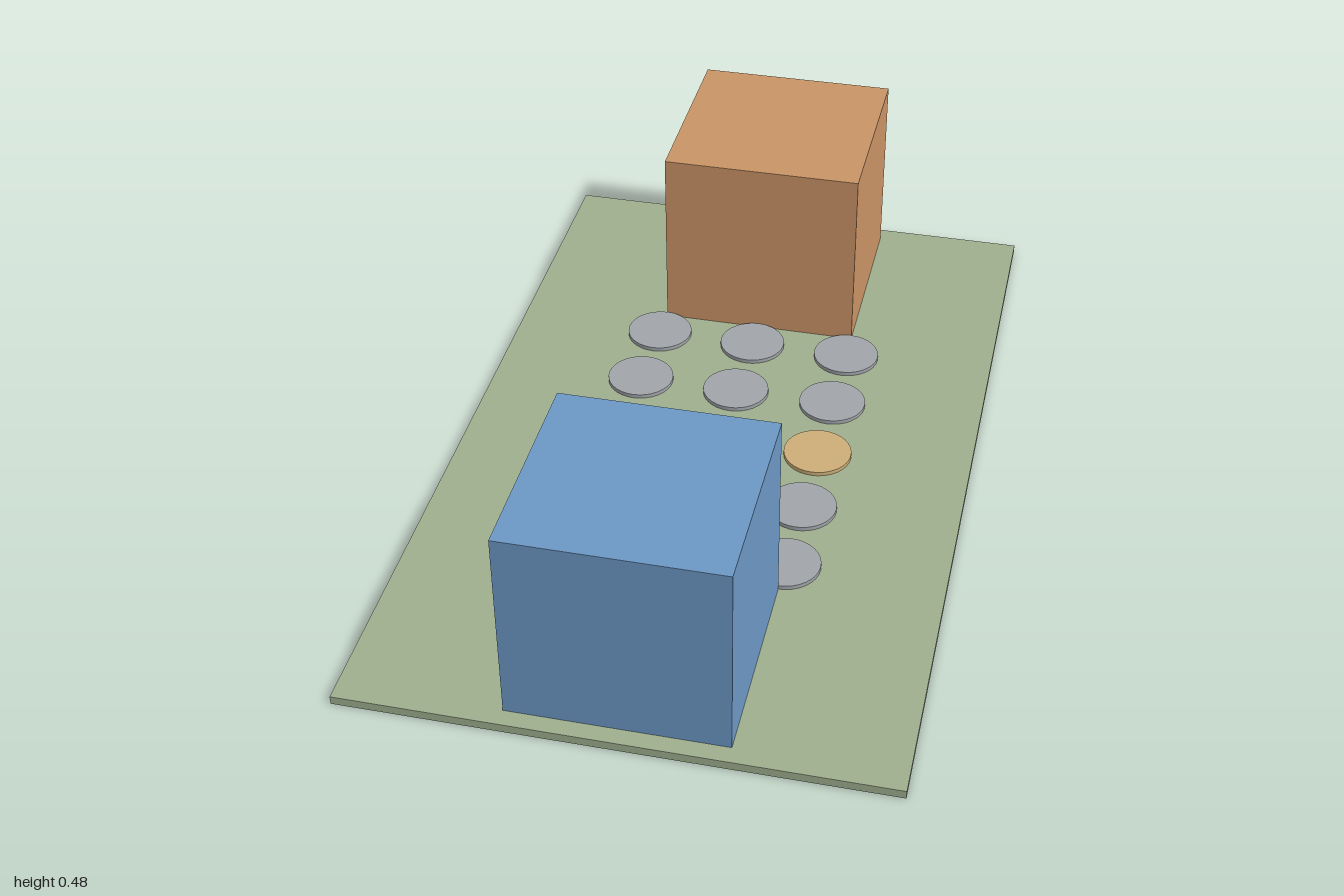
import * as THREE from 'three';

const paint = (name, color) => {
  const material = new THREE.MeshStandardMaterial({ color });
  material.name = name;
  return material;
};

export function createModel() {
  const model = new THREE.Group();
  model.name = 'blockBoard';

  const green = paint('sage green', 0xa0af8f);
  const blue = paint('blue', 0x6c97c4);
  const orange = paint('orange', 0xca9466);
  const grey = paint('grey', 0xa1a5aa);
  const yellow = paint('sand yellow', 0xcdae78);

  const add = (name, geometry, material, x, y, z) => {
    const mesh = new THREE.Mesh(geometry, material);
    mesh.name = name;
    mesh.position.set(x, y, z);
    model.add(mesh);
  };

  // Thin base board
  const baseTop = 0.02;
  add('baseBoard', new THREE.BoxGeometry(1.2, baseTop, 2), green, 0, baseTop / 2, 0);

  // One block at each end, standing on the board
  const blockTop = 0.48;
  const block = new THREE.BoxGeometry(0.48, blockTop - baseTop, 0.48);
  const blockY = (baseTop + blockTop) / 2;
  add('frontBlock', block, blue, 0, blockY, 0.72);
  add('backBlock', block, orange, 0, blockY, -0.72);

  // Grid of flat discs between the blocks, with a yellow middle row
  const disc = new THREE.CylinderGeometry(0.08, 0.08, 0.01, 32);
  for (let row = -2; row <= 2; row++) {
    for (let column = -1; column <= 1; column++) {
      const middle = row === 0;
      add(middle ? 'middleDisc' : 'disc', disc, middle ? yellow : grey,
        column * 0.24, baseTop + 0.005, row * 0.2);
    }
  }

  return model;
}
